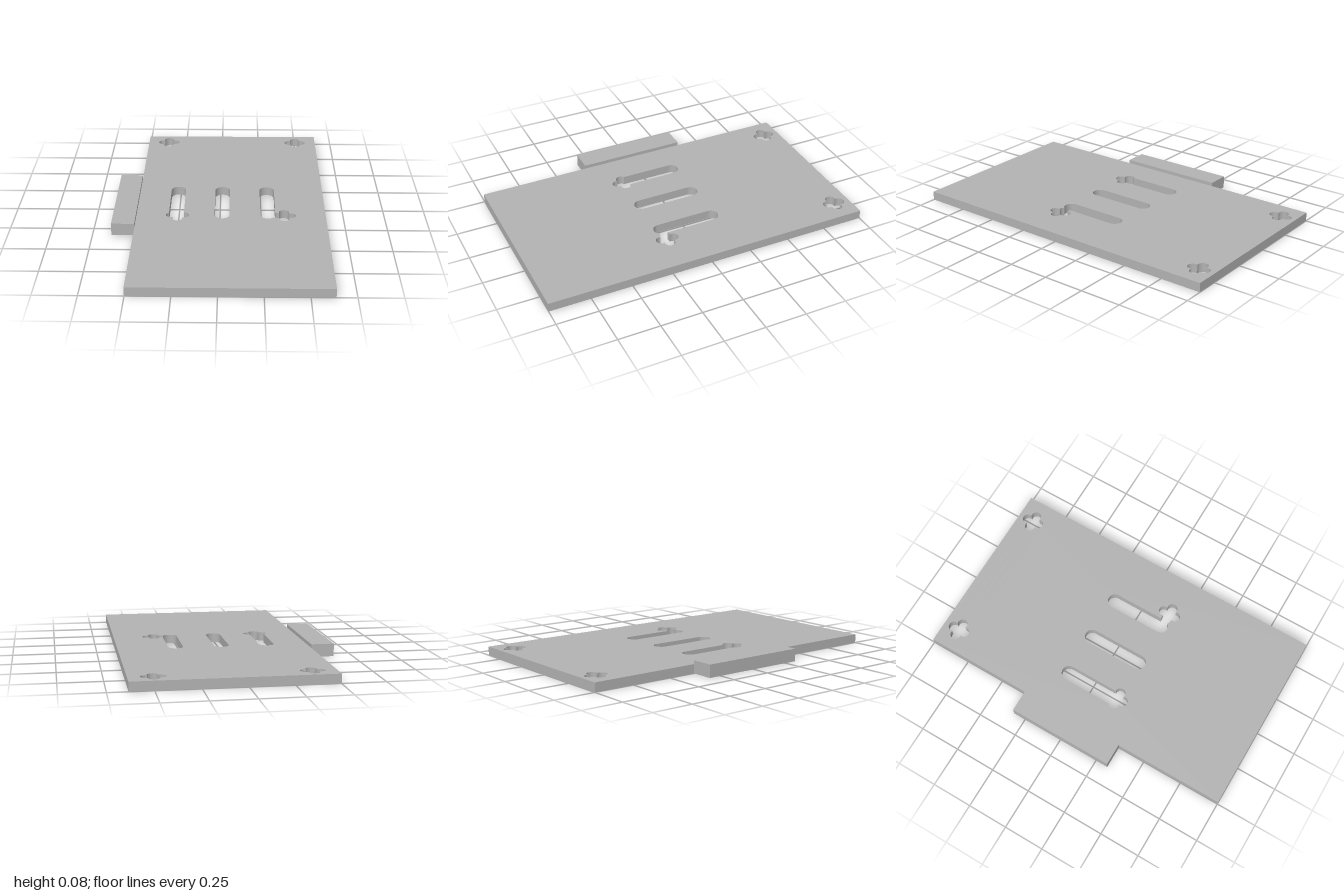
import * as THREE from 'three';

const LOBE = 0.031; // radius of one lobe of a four-lobed hole
const OFF = 0.039; // lobe distance from the hole centre
const SLOT = 0.045; // slot radius
const REACH = 0.165; // slot cap distance from the middle

// Closed path through arcs [x, z, radius, startDeg, endDeg], joined by straight lines
function arcPath(arcs) {
  const path = new THREE.Path();
  const rad = THREE.MathUtils.degToRad;
  for (const [x, z, r, a, b] of arcs) path.absarc(x, z, r, rad(a), rad(b), false);
  path.closePath();
  return path;
}

// One lobe arc of a four-lobed hole, pointing in direction dir
function lobe(x, z, dir, from = dir - 108, to = dir + 108) {
  const a = THREE.MathUtils.degToRad(dir);
  return [x + OFF * Math.cos(a), z + OFF * Math.sin(a), LOBE, from, to];
}

const quatrefoil = (x, z) => arcPath([0, 90, 180, 270].map((dir) => lobe(x, z, dir)));
const backCap = (x) => [x, -REACH, SLOT, 180, 360];
const frontCap = (x, from = 0) => [x, REACH, SLOT, from, 180];

export function createModel() {
  const model = new THREE.Group();
  const gray = new THREE.MeshStandardMaterial({ color: 0xb2b2b2 });
  gray.name = 'plain gray';

  // Plate outline in x and z
  const outline = new THREE.Shape([
    new THREE.Vector2(-0.501, -1),
    new THREE.Vector2(0.636, -1),
    new THREE.Vector2(0.636, 1),
    new THREE.Vector2(-0.501, 1),
  ]);

  outline.holes.push(
    // Mounting holes near the back edge
    quatrefoil(-0.365, -0.9),
    quatrefoil(0.498, -0.9),
    // Middle slot
    arcPath([backCap(0.013), frontCap(0.013)]),
    // Right slot merged with a four-lobed hole at its front end
    arcPath([
      backCap(-0.262),
      lobe(-0.254, 0.17, 0, -94),
      lobe(-0.254, 0.17, 90),
      lobe(-0.254, 0.17, 180, 72, 243),
    ]),
    // Left slot joined to a four-lobed hole beside it
    arcPath([
      backCap(0.289),
      lobe(0.387, 0.17, 180, 243, 288),
      lobe(0.387, 0.17, 270),
      lobe(0.387, 0.17, 0),
      lobe(0.387, 0.17, 90),
      lobe(0.387, 0.17, 180, 72, 137),
      frontCap(0.289, 36),
    ]),
  );

  // Lay the extruded plate flat on the ground
  const thickness = 0.054;
  const plateGeometry = new THREE.ExtrudeGeometry(outline, {
    depth: thickness, bevelEnabled: false, curveSegments: 16,
  });
  plateGeometry.rotateX(Math.PI / 2).translate(0, thickness, 0);
  const plate = new THREE.Mesh(plateGeometry, gray);
  plate.name = 'slottedPlate';
  model.add(plate);

  // Raised block on the side edge
  const block = new THREE.Mesh(new THREE.BoxGeometry(0.137, 0.076, 0.656), gray);
  block.name = 'sideBlock';
  block.position.set(-0.5695, 0.038, 0);
  model.add(block);

  return model;
}
